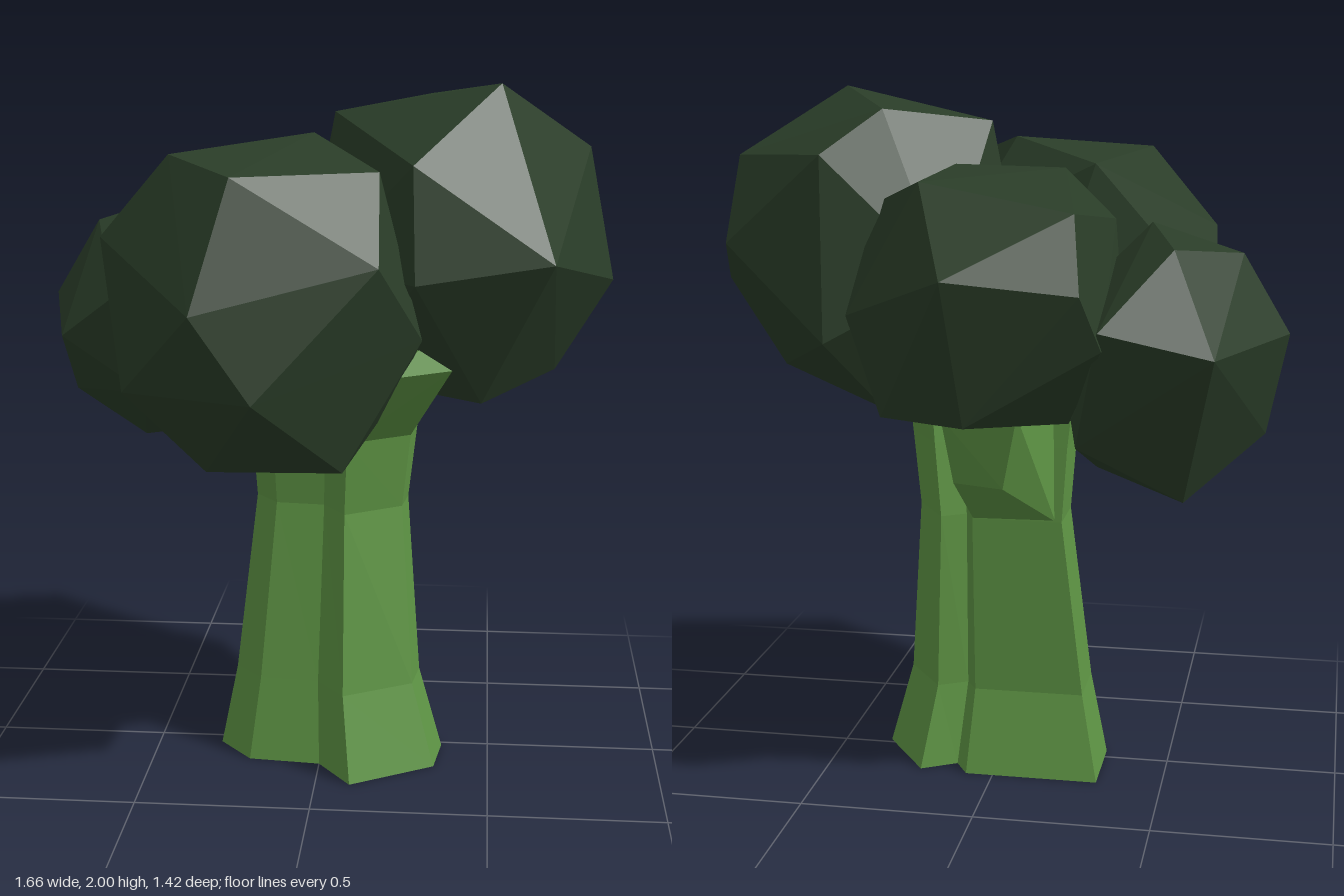
import * as THREE from 'three';
import { ConvexGeometry } from 'three/addons/geometries/ConvexGeometry.js';

const leafMaterial = new THREE.MeshStandardMaterial({ color: 0x2a3d28, flatShading: true });
const stalkMaterial = new THREE.MeshStandardMaterial({ color: 0x5f9645, flatShading: true });

// Faceted solid spanned by a handful of corner points
function facetedSolid(name, corners, material) {
  const points = corners.map(([x, y, z]) => new THREE.Vector3(x, y, z));
  const mesh = new THREE.Mesh(new ConvexGeometry(points), material);
  mesh.name = name;
  return mesh;
}

// Grooved two-lobed stalk: one footprint extruded in steps, each step rescaled and shifted
function buildStalk() {
  const footprint = [[0.1, 0.33], [0.34, 0.18], [0.36, 0.02], [0.22, -0.19], [0.12, -0.13],
    [0.08, -0.2], [-0.31, -0.2], [-0.31, 0.05], [-0.21, 0.17], [0, 0.19]];
  const centre = [0.025, 0.065];
  // height, centre x, centre z, scale x, scale z
  const levels = [
    [0, 0.025, 0.065, 1, 1],
    [0.25, 0.015, 0.06, 0.82, 0.8],
    [0.78, 0.025, 0.015, 0.67, 0.73],
    [1.0, 0.03, 0.03, 0.73, 0.8],
    [1.15, 0.03, 0.03, 0.78, 0.8],
  ];
  const shape = new THREE.Shape(footprint.map(([x, z]) => new THREE.Vector2(x, -z)));
  const steps = levels.length - 1;
  const geometry = new THREE.ExtrudeGeometry(shape, { depth: steps, steps, bevelEnabled: false });
  const position = geometry.attributes.position;
  for (let i = 0; i < position.count; i++) {
    const [y, cx, cz, sx, sz] = levels[Math.round(position.getZ(i))];
    const x = cx + (position.getX(i) - centre[0]) * sx;
    const z = cz + (-position.getY(i) - centre[1]) * sz;
    position.setXYZ(i, x, y, z);
  }
  geometry.computeVertexNormals();
  const mesh = new THREE.Mesh(geometry, stalkMaterial);
  mesh.name = 'stalk';
  return mesh;
}

// Side branches that reach up into the crown
const branches = {
  frontBranch: [[0.085, 1, 0.242], [0.26, 1, 0.122], [0.27, 1, 0], [0.06, 1, 0.1],
    [0.2, 1.23, 0.44], [0.38, 1.24, 0.36], [0.29, 1.3, 0.38], [0.2, 1.25, 0.1]],
  backBranch: [[0.06, 0.78, -0.175], [-0.18, 0.78, -0.17], [0.07, 0.94, -0.4],
    [-0.07, 0.93, -0.41], [0.09, 1.14, -0.47], [-0.12, 1.15, -0.47], [0.1, 1.16, -0.05],
    [-0.2, 1.15, -0.05]],
};

// Rounded clumps of the crown
const clumps = {
  frontClump: [[-0.2, 1.78, 0.56], [-0.29, 1.44, 0.71], [-0.13, 1.21, 0.71], [0.19, 1.55, 0.58],
    [0.18, 1.78, 0.39], [-0.39, 1.82, 0.36], [-0.59, 1.59, 0.32], [-0.61, 1.38, 0.08],
    [-0.51, 1.19, 0.48], [-0.02, 1.86, 0.1], [-0.28, 1.8, -0.12], [0.09, 0.98, 0.49],
    [-0.3, 0.94, 0.36], [0.3, 1.34, 0.45], [0.2, 1.1, 0.2], [-0.45, 1.05, 0.08], [0, 1.02, 0.1],
    [0.12, 1.6, -0.05], [-0.15, 1.4, -0.16]],
  tallClump: [[0.5, 2, 0.15], [0.3, 1.95, -0.23], [0.45, 1.83, -0.35], [0.03, 1.91, -0.02],
    [0.76, 1.81, -0.09], [0.76, 1.57, -0.24], [0.83, 1.44, 0], [0.67, 1.18, 0.02],
    [0.65, 1.54, 0.42], [0.28, 1.49, 0.48], [0.27, 1.8, 0.42], [0.43, 1.32, -0.42],
    [0.46, 1.13, 0.27], [0.3, 1.11, -0.25], [0.08, 1.15, 0.05], [-0.04, 1.55, -0.02],
    [0, 1.5, 0.2], [0.1, 1.5, -0.35]],
  backClump: [[0.04, 1.54, -0.71], [0.15, 1.77, -0.45], [-0.22, 1.8, -0.28], [-0.28, 1.7, -0.53],
    [-0.31, 1.5, -0.64], [0.35, 1.41, -0.47], [0.3, 1.7, -0.3], [0.1, 1.8, -0.2],
    [-0.36, 1.35, -0.58], [-0.38, 1.35, -0.25], [-0.34, 1.65, -0.13], [0, 1.14, -0.61],
    [0.25, 1.14, -0.5], [-0.25, 1.12, -0.4], [0.3, 1.12, -0.25], [-0.1, 1.1, -0.2],
    [0, 1.6, 0.05], [-0.2, 1.5, 0], [0.1, 1.3, 0.02]],
  lowClump: [[-0.83, 1.35, -0.19], [-0.7, 1.57, -0.2], [-0.53, 1.6, -0.42], [-0.65, 1.33, -0.55],
    [-0.35, 1.4, -0.59], [-0.78, 1.25, 0], [-0.61, 1.38, 0.08], [-0.77, 1.06, -0.15],
    [-0.56, 0.9, -0.35], [-0.56, 0.92, -0.15], [-0.52, 1.1, 0.08], [-0.3, 0.95, -0.18],
    [-0.28, 1.07, -0.48], [-0.2, 1.25, -0.2], [-0.3, 1.5, -0.2], [-0.45, 1.65, -0.2]],
};

export function createModel() {
  const model = new THREE.Group();
  model.name = 'broccoli';
  model.add(buildStalk());
  for (const [name, corners] of Object.entries(branches)) {
    model.add(facetedSolid(name, corners, stalkMaterial));
  }
  for (const [name, corners] of Object.entries(clumps)) {
    model.add(facetedSolid(name, corners, leafMaterial));
  }
  return model;
}
